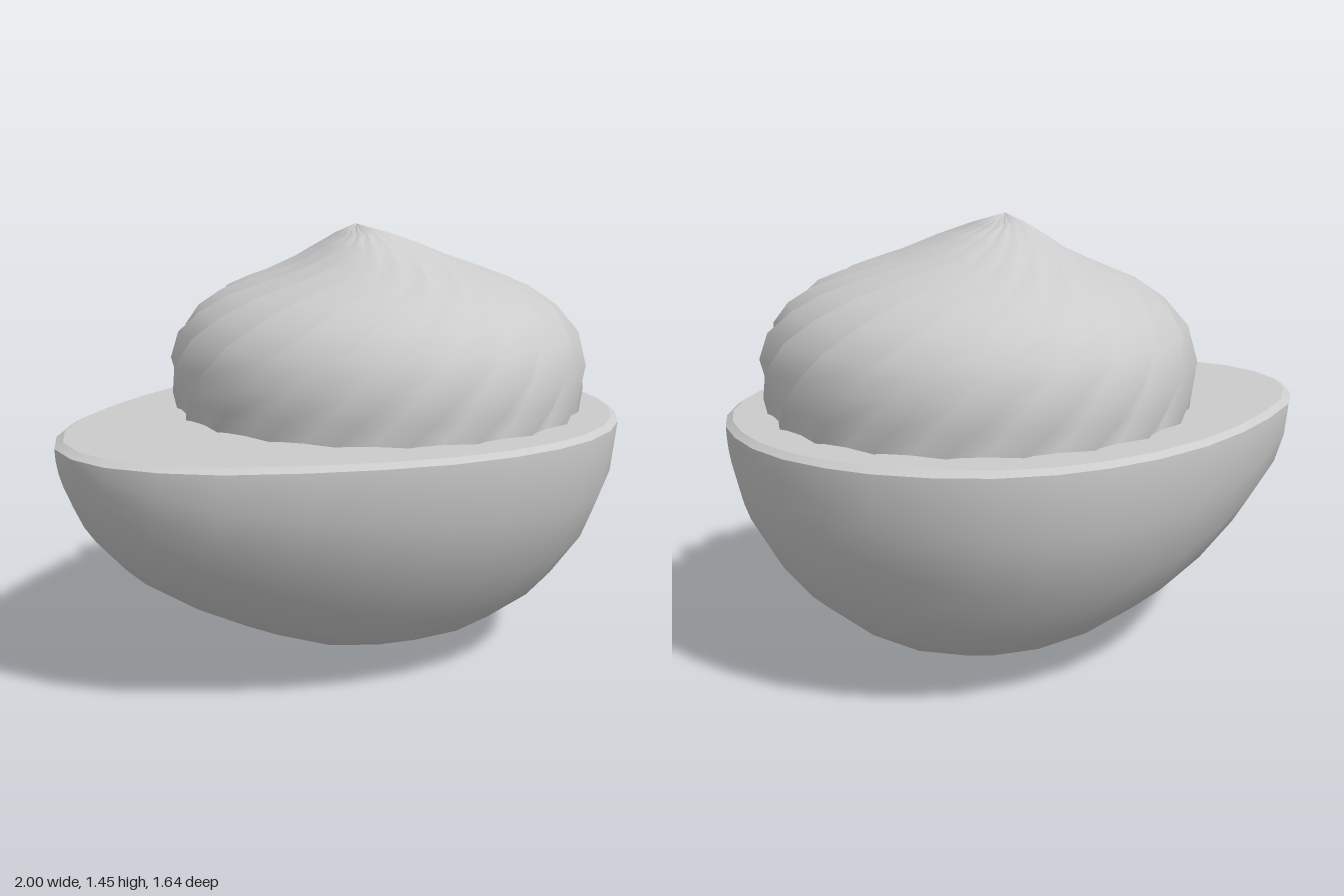
import * as THREE from 'three';
import { toCreasedNormals } from 'three/addons/utils/BufferGeometryUtils.js';

const SEAT = 0.81; // height of the egg's cut edge
const WIDEN = 1.01; // the egg is slightly wider than deep
const material = new THREE.MeshStandardMaterial({ color: 0xcccccc });

// Skins closed loops of points, listed from bottom to top
function loft(loops) {
  const n = loops[0].length;
  const indices = [];
  for (let j = 0; j < loops.length - 1; j++) {
    for (let i = 0; i < n; i++) {
      const k = (i + 1) % n;
      const a = j * n + i, b = j * n + k, c = a + n, d = b + n;
      indices.push(a, c, b);
      if (!loops[j + 1][i].equals(loops[j + 1][k])) indices.push(b, c, d);
    }
  }
  const geometry = new THREE.BufferGeometry().setFromPoints(loops.flat());
  geometry.setIndex(indices);
  geometry.computeVertexNormals();
  return geometry;
}

function part(name, geometry) {
  const mesh = new THREE.Mesh(geometry, material);
  mesh.name = name;
  return mesh;
}

// Egg outline: radius at each position along x, blunt end at +x
const eggProfile = [
  [0, -1], [0.15, -0.975], [0.3, -0.89], [0.43, -0.77], [0.56, -0.58], [0.665, -0.39],
  [0.745, -0.2], [0.795, 0], [0.81, 0.18], [0.798, 0.34], [0.75, 0.5], [0.67, 0.645],
  [0.555, 0.78], [0.44, 0.87], [0.3, 0.945], [0.15, 0.988], [0, 1],
].map(([r, x]) => new THREE.Vector2(r, x));

// Half egg: half a turn of the outline around the long axis
function eggWhite() {
  const geometry = new THREE.LatheGeometry(eggProfile, 12, 0, Math.PI);
  geometry.rotateZ(-Math.PI / 2);
  geometry.scale(1, 1, WIDEN);
  geometry.translate(0, SEAT, 0);
  return geometry;
}

// Bevelled rim and flat cut face
function cutFace() {
  const front = eggProfile.slice().reverse().map((p) => [p.y, p.x]);
  const back = eggProfile.slice(1, -1).map((p) => [p.y, -p.x]);
  const ring = (scale, y) => [...front, ...back].map(
    ([x, z]) => new THREE.Vector3(0.12 + (x - 0.12) * scale, y, z * scale * WIDEN));
  return toCreasedNormals(loft([ring(1, SEAT), ring(0.975, 0.826), ring(0, 0.826)]), 0.3);
}

// Piped filling: a twisted dome with a star-shaped section, its tip leaning to one side
function filling() {
  const lobes = 20, rows = 11, twist = 1.5;
  const curve = new THREE.SplineCurve([
    [0.68, 0.8], [0.69, 0.88], [0.69, 0.97], [0.655, 1.08], [0.56, 1.18],
    [0.43, 1.25], [0.28, 1.315], [0.12, 1.4], [0, 1.45],
  ].map((p) => new THREE.Vector2(...p)));
  const { smoothstep, lerp } = THREE.MathUtils;
  const loops = [];
  for (let j = 0; j <= rows; j++) {
    const t = j / rows;
    const p = curve.getPointAt(t), tangent = curve.getTangentAt(t);
    const depth = j === rows ? 0 : lerp(0.02, 0.075, smoothstep(t, 0, 0.25)) * Math.min(1, p.x / 0.5);
    const lean = Math.max(0, (p.y - 1.25) / 0.2);
    const centre = 0.178 - 0.098 * lean ** 1.6;
    const loop = [];
    for (let i = 0; i < lobes * 2; i++) {
      const h = depth * (i % 2 ? -0.62 : 0.38); // groove or ridge
      const angle = (i / lobes) * Math.PI - twist * t;
      const r = j === rows ? 0 : p.x + tangent.y * h;
      loop.push(new THREE.Vector3(
        centre + r * Math.cos(angle), p.y - tangent.x * h, r * Math.sin(angle)));
    }
    loops.push(loop);
  }
  return loft(loops);
}

export function createModel() {
  const model = new THREE.Group();
  model.name = 'filledEgg';
  model.add(part('eggWhite', eggWhite()), part('cutFace', cutFace()), part('filling', filling()));
  return model;
}
